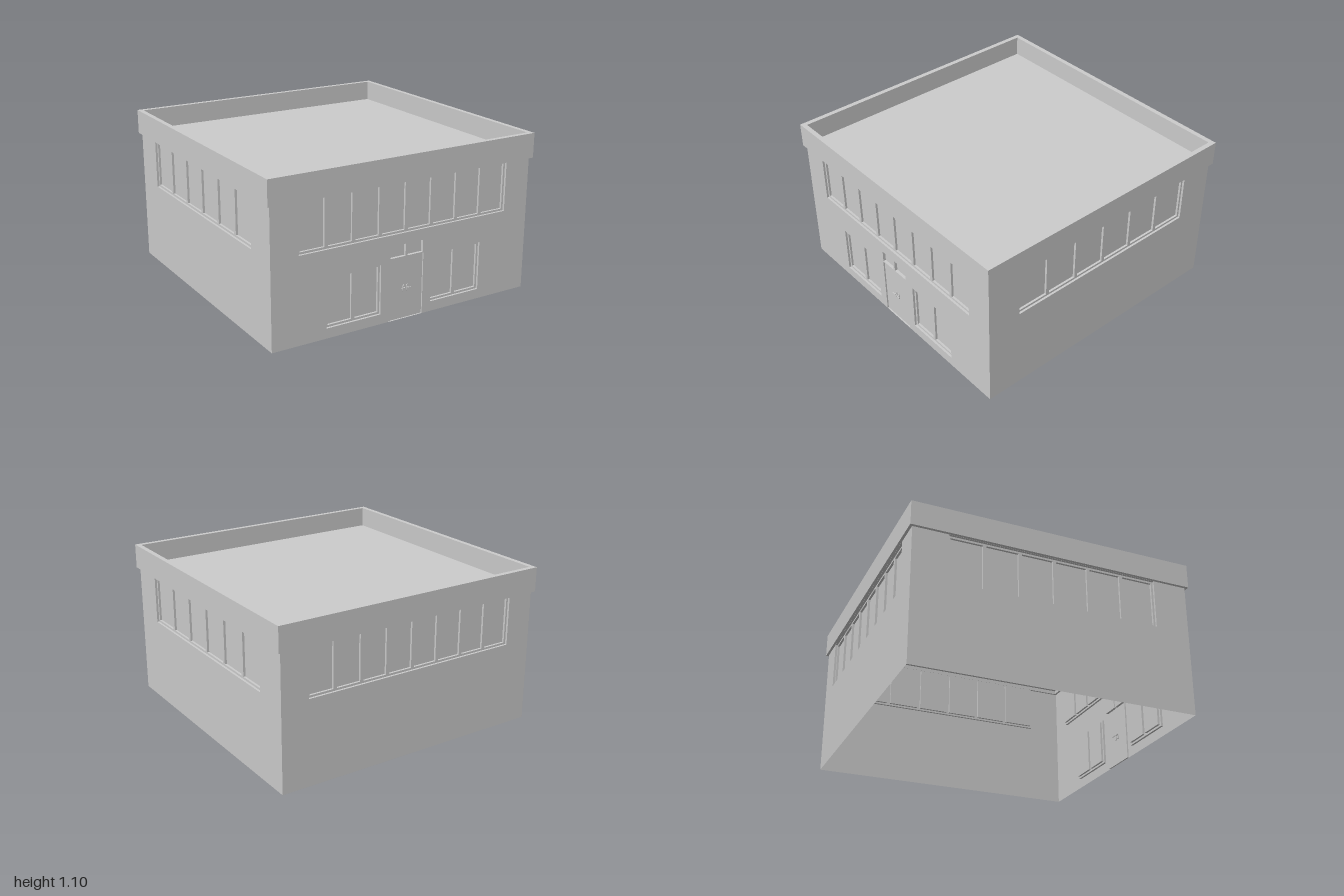
import * as THREE from 'three';
import { mergeGeometries } from 'three/addons/utils/BufferGeometryUtils.js';

const solid = new THREE.MeshStandardMaterial({ color: 0xcccccc, flatShading: true });
const sheet = new THREE.MeshStandardMaterial({ color: 0xcccccc, flatShading: true, side: THREE.DoubleSide });

function add(parent, name, geometry, material = sheet) {
  const mesh = new THREE.Mesh(geometry, material);
  mesh.name = name;
  parent.add(mesh);
  return mesh;
}

// Rectangles are [x0, y0, x1, y1]
const corners = ([x0, y0, x1, y1]) =>
  [[x0, y0], [x1, y0], [x1, y1], [x0, y1]].map(([x, y]) => new THREE.Vector2(x, y));

// Flat sheet at depth z with rectangular holes
function plate(points, holes, z) {
  const shape = new THREE.Shape(points);
  for (const r of holes) shape.holes.push(new THREE.Path(corners(r).reverse()));
  return new THREE.ShapeGeometry(shape).translate(0, 0, z);
}

// Four sides of a rectangular recess running from depth z back by d
function reveal([x0, y0, x1, y1], z, d) {
  const w = x1 - x0, h = y1 - y0, cx = (x0 + x1) / 2, cy = (y0 + y1) / 2, cz = z - d / 2;
  return mergeGeometries([
    new THREE.PlaneGeometry(d, h).rotateY(Math.PI / 2).translate(x0, cy, cz),
    new THREE.PlaneGeometry(d, h).rotateY(-Math.PI / 2).translate(x1, cy, cz),
    new THREE.PlaneGeometry(w, d).rotateX(-Math.PI / 2).translate(cx, y0, cz),
    new THREE.PlaneGeometry(w, d).rotateX(Math.PI / 2).translate(cx, y1, cz),
  ]);
}

// Recessed frame with a row of deeper-set panes
function windowBand(parent, name, rect, count, z) {
  const step = 0.015, border = 0.014, mullion = 0.024;
  const [x0, y0, x1, y1] = rect;
  const w = (x1 - x0 - 2 * border - (count - 1) * mullion) / count;
  const panes = [];
  for (let i = 0; i < count; i++) {
    const x = x0 + border + i * (w + mullion);
    panes.push([x, y0 + border, x + w, y1 - border]);
  }
  add(parent, name + 'Frame', mergeGeometries([
    reveal(rect, z, step),
    plate(corners(rect), panes, z - step),
    ...panes.map((p) => reveal(p, z - step, step)),
  ]));
  add(parent, name + 'Glass', mergeGeometries(panes.map((p) => plate(corners(p), [], z - 2 * step))));
}

export function createModel() {
  const model = new THREE.Group();
  model.name = 'building';
  const X = 0.98, Z = 0.972, wallTop = 0.94;

  // Four walls, each with a ribbon of upper windows
  const sides = [
    { name: 'front', half: X, dist: Z, turn: 0, band: 0.788, count: 8 },
    { name: 'left', half: Z, dist: X, turn: Math.PI / 2, band: 0.73, count: 6 },
    { name: 'back', half: X, dist: Z, turn: Math.PI, band: 0.788, count: 8 },
    { name: 'right', half: Z, dist: X, turn: -Math.PI / 2, band: 0.73, count: 6 },
  ];
  const door = [-0.13, 0, 0.13, 0.423];
  const transoms = [[-0.128, 0.43, -0.01, 0.512], [0.004, 0.43, 0.124, 0.512]];
  const lower = [[-0.595, 0.068, -0.196, 0.405], [0.194, 0.068, 0.59, 0.405]];

  for (const s of sides) {
    const group = new THREE.Group();
    group.name = s.name + 'Side';
    group.rotation.y = s.turn;
    model.add(group);
    const upper = [-s.band, 0.588, s.band, 0.929];
    const holes = [upper];
    let outline = corners([-s.half, 0, s.half, wallTop]);
    windowBand(group, 'upperWindow', upper, s.count, s.dist);

    if (s.name === 'front') {
      // Notch for the door, plus ground-floor windows and transom
      const [a, b, c, d] = corners(door);
      outline = [outline[0], a, d, c, b, ...outline.slice(1)];
      holes.push(...lower, ...transoms);
      for (const r of lower) windowBand(group, 'lowerWindow', r, 2, s.dist);
      add(group, 'transom', mergeGeometries(transoms.flatMap((r) =>
        [reveal(r, s.dist, 0.02), plate(corners(r), [], s.dist - 0.02)])));
      add(group, 'door', mergeGeometries(
        [reveal(door, s.dist, 0.01), plate(corners(door), [], s.dist - 0.01)]));
      addHandles(group, s.dist - 0.01);
    }
    add(group, s.name + 'Wall', plate(outline, holes, s.dist));
  }

  // Overhanging parapet ring and the sunken roof deck
  const ring = new THREE.Shape(corners([-1, -0.99, 1, 0.99]));
  ring.holes.push(new THREE.Path(corners([-0.966, -0.956, 0.966, 0.956]).reverse()));
  const parapet = new THREE.ExtrudeGeometry(ring, { depth: 0.17, bevelEnabled: false });
  add(model, 'parapet', parapet.rotateX(-Math.PI / 2).translate(0, 0.93, 0), solid);
  add(model, 'roof', new THREE.PlaneGeometry(1.932, 1.912).rotateX(-Math.PI / 2).translate(0, 0.957, 0));
  return model;
}

// Pair of oval backplates with levers on both faces of the door
function addHandles(parent, z) {
  for (const side of [-1, 1]) {
    const x = side * 0.014;
    const oval = new THREE.CylinderGeometry(1, 1, 0.012, 16).rotateX(Math.PI / 2).scale(0.009, 0.025, 1);
    add(parent, 'handlePlate', oval.translate(x, 0.205, z), solid);
    for (const face of [-1, 1]) {
      const stem = new THREE.BoxGeometry(0.006, 0.006, 0.012).translate(x, 0.211, z + face * 0.01);
      const lever = new THREE.BoxGeometry(0.026, 0.006, 0.005).translate(x + side * 0.01, 0.211, z + face * 0.016);
      add(parent, 'handleLever', mergeGeometries([stem, lever]), solid);
    }
  }
}
